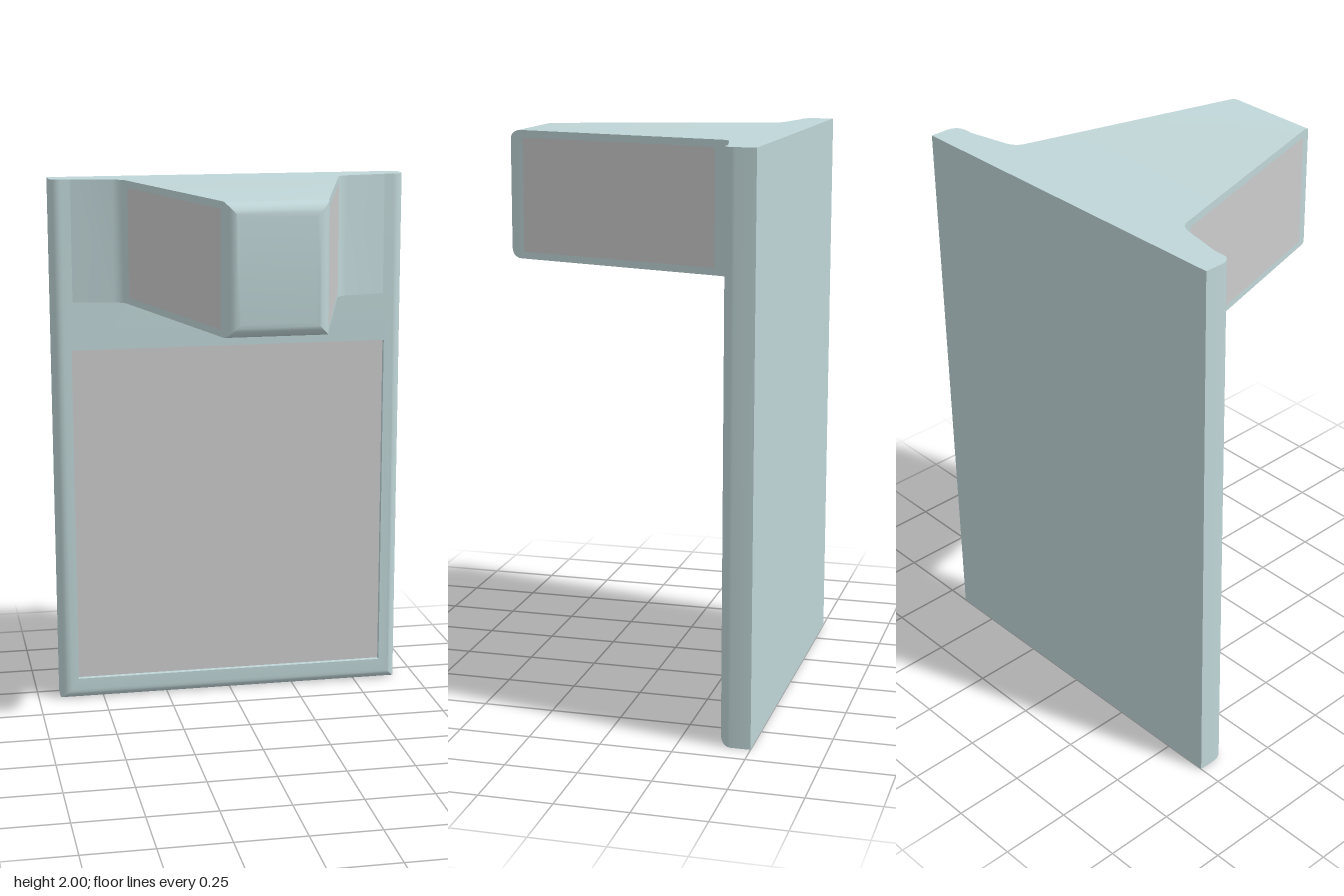
import * as THREE from 'three';
import { toCreasedNormals } from 'three/addons/utils/BufferGeometryUtils.js';

const teal = new THREE.MeshStandardMaterial({ color: 0xc0d6d8 });
const grey = new THREE.MeshStandardMaterial({ color: 0xcccccc });

// Skin a row of upright rectangles [halfWidth, yBottom, yTop, z], ordered back to front
function loftRectangles(rings, capBack, capFront) {
  const pos = [];
  const corners = rings.map(([w, y0, y1, z]) => [[-w, y0, z], [w, y0, z], [w, y1, z], [-w, y1, z]]);
  const quad = (a, b, c, d) => pos.push(...a, ...b, ...c, ...a, ...c, ...d);
  for (let k = 0; k < corners.length - 1; k++) {
    const a = corners[k], b = corners[k + 1];
    for (let i = 0; i < 4; i++) {
      const j = (i + 1) % 4;
      quad(a[i], a[j], b[j], b[i]);
    }
  }
  const first = corners[0], last = corners[corners.length - 1];
  if (capBack) quad(first[3], first[2], first[1], first[0]);
  if (capFront) quad(...last);
  const g = new THREE.BufferGeometry();
  g.setAttribute('position', new THREE.Float32BufferAttribute(pos, 3));
  return toCreasedNormals(g, 0.5);
}

// Quarter-round samples: [inset from the side, advance to the front]
function fillet(r, steps) {
  return Array.from({ length: steps + 1 }, (_, i) => {
    const t = (i / steps) * Math.PI / 2;
    return [r * (1 - Math.cos(t)), r * Math.sin(t)];
  });
}

export function createModel() {
  const group = new THREE.Group();
  const add = (name, geometry, material) => {
    const mesh = new THREE.Mesh(geometry, material);
    mesh.name = name;
    group.add(mesh);
    return mesh;
  };

  // Back plate: rounded side and bottom front edges, square top, shallow recess
  const r = 0.04, front = -0.39;
  const plateRings = [[0.665, 0, 2, -0.5]];
  for (const [inset, dz] of fillet(r, 6)) plateRings.push([0.665 - inset, inset, 2, front - r + dz]);
  plateRings.push([0.597, 0.083, 1.37, front], [0.597, 0.083, 1.37, front - 0.02]);
  add('backPlate', loftRectangles(plateRings, true, false), teal);

  // Grey panel on the floor of the recess
  const panel = add('recessedPanel', new THREE.PlaneGeometry(1.194, 1.287), grey);
  panel.position.set(0, 0.7265, front - 0.02);

  // Tapered arm: flared root, straight taper, rounded nose
  const y0 = 1.55, y1 = 2, nose = 0.05;
  const armRings = [
    [0.63, -0.4], [0.59, -0.39], [0.44, -0.358], [0.42, -0.35], [0.405, -0.338],
    [0.396, -0.322], [0.39, -0.3],
  ].map(([w, z]) => [w, y0, y1, z]);
  for (const [inset, dz] of fillet(nose, 6)) armRings.push([0.177 - inset, y0 + inset, y1 - inset, 0.45 + dz]);
  add('arm', loftRectangles(armRings, false, true), teal);

  // Grey pads lying on the two sloping sides of the arm
  const sideX = z => 0.39 + (z + 0.3) * (0.177 - 0.39) / 0.75;
  const zBack = -0.3, zFront = 0.44;
  const dx = sideX(zBack) - sideX(zFront), dz = zFront - zBack;
  for (const side of [-1, 1]) {
    const pad = add(side > 0 ? 'leftArmPad' : 'rightArmPad',
      new THREE.PlaneGeometry(Math.hypot(dx, dz), 0.4), grey);
    pad.position.set(side * (sideX((zBack + zFront) / 2) + 0.002), 1.775, (zBack + zFront) / 2);
    pad.rotation.y = side * Math.atan2(dz, dx);
  }
  return group;
}
